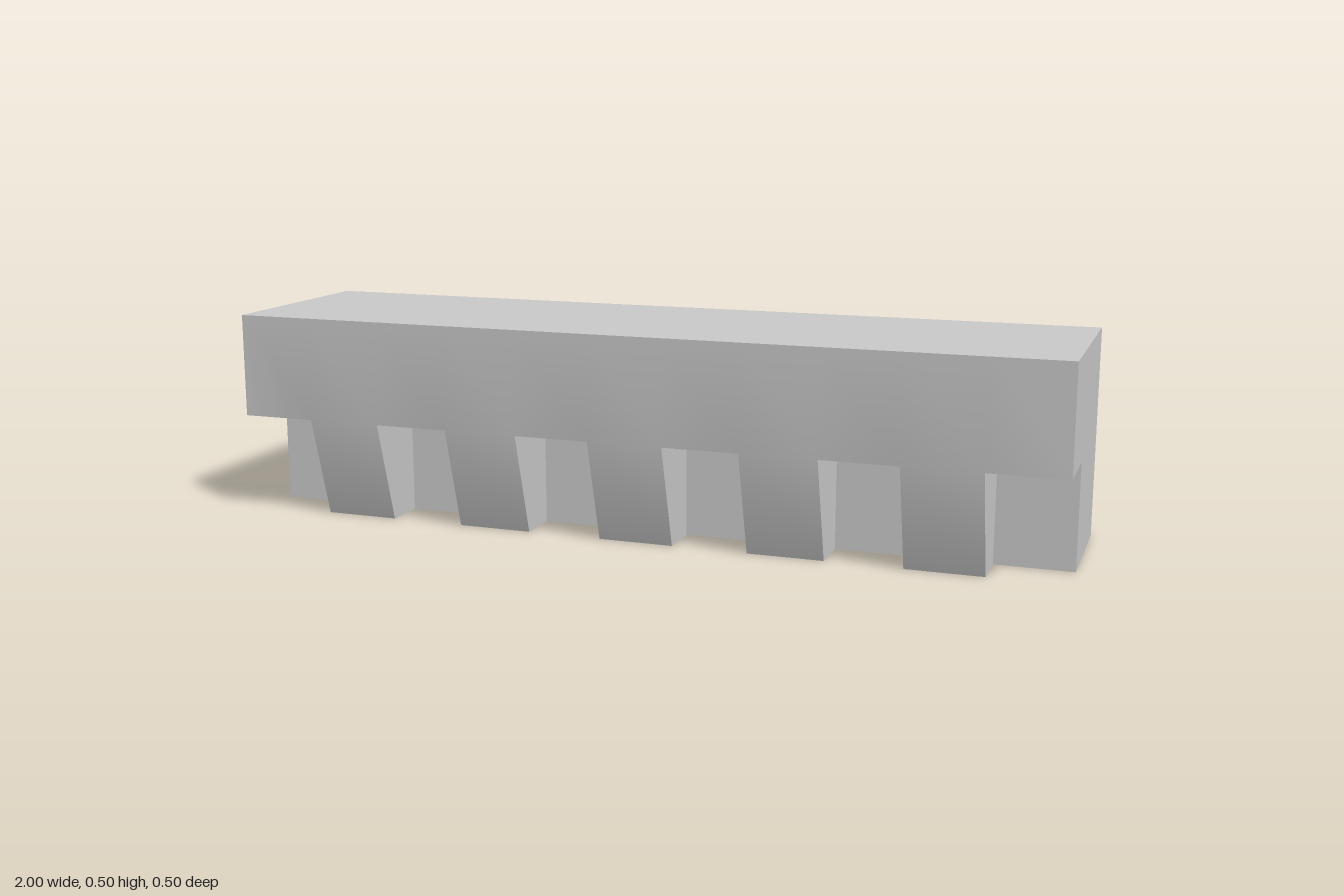
import * as THREE from 'three';
import { toCreasedNormals } from 'three/addons/utils/BufferGeometryUtils.js';

const COLUMNS = 11; // alternating gaps and teeth, starting and ending with a gap
const columnX = (i) => -1 + (2 * i) / COLUMNS;

// Section points as [z, y]
const BACK_BOTTOM = [-0.25, 0], BACK_TOP = [-0.25, 0.5];
const FRONT_TOP = [0.25, 0.5], FRONT_EDGE = [0.25, 0.25];
const TOOTH_TIP = [0.177, 0], RECESS_TOP = [0.073, 0.25], RECESS_BOTTOM = [0.073, 0];

const gapProfile = [BACK_BOTTOM, BACK_TOP, FRONT_TOP, FRONT_EDGE, RECESS_TOP, RECESS_BOTTOM];
const toothProfile = [BACK_BOTTOM, BACK_TOP, FRONT_TOP, FRONT_EDGE, TOOTH_TIP];

function corniceGeometry() {
  const positions = [];
  const quad = (a, b, c, d) => positions.push(...a, ...b, ...c, ...a, ...c, ...d);
  const at = (x, [z, y]) => [x, y, z];

  // Flat quad in a plane of constant x, facing +x or -x
  const sideQuad = (x, points, facing) => {
    const corners = points.map((p) => at(x, p));
    quad(...(facing > 0 ? corners : corners.reverse()));
  };

  for (let i = 0; i < COLUMNS; i++) {
    const isTooth = i % 2 === 1;
    const x0 = columnX(i), x1 = columnX(i + 1);

    // Skin of this column, swept along x
    const profile = isTooth ? toothProfile : gapProfile;
    profile.forEach((p, k) => {
      const q = profile[(k + 1) % profile.length];
      quad(at(x0, p), at(x0, q), at(x1, q), at(x1, p));
    });

    // Tooth cheeks
    if (isTooth) {
      const cheek = [RECESS_BOTTOM, RECESS_TOP, FRONT_EDGE, TOOTH_TIP];
      sideQuad(x0, cheek, -1);
      sideQuad(x1, cheek, 1);
    }
  }

  // End caps: rear wall plus overhanging ledge
  for (const side of [-1, 1]) {
    sideQuad(side, [BACK_BOTTOM, BACK_TOP, [0.073, 0.5], RECESS_BOTTOM], side);
    sideQuad(side, [RECESS_TOP, [0.073, 0.5], FRONT_TOP, FRONT_EDGE], side);
  }

  const geometry = new THREE.BufferGeometry();
  geometry.setAttribute('position', new THREE.Float32BufferAttribute(positions, 3));
  // Front band blends softly into the sloped teeth, square edges stay sharp
  return toCreasedNormals(geometry, Math.PI / 6);
}

export function createModel() {
  const group = new THREE.Group();
  group.name = 'dentilCornice';
  const cornice = new THREE.Mesh(
    corniceGeometry(),
    new THREE.MeshStandardMaterial({ color: 0xcccccc })
  );
  cornice.name = 'toothedBeam';
  group.add(cornice);
  return group;
}
